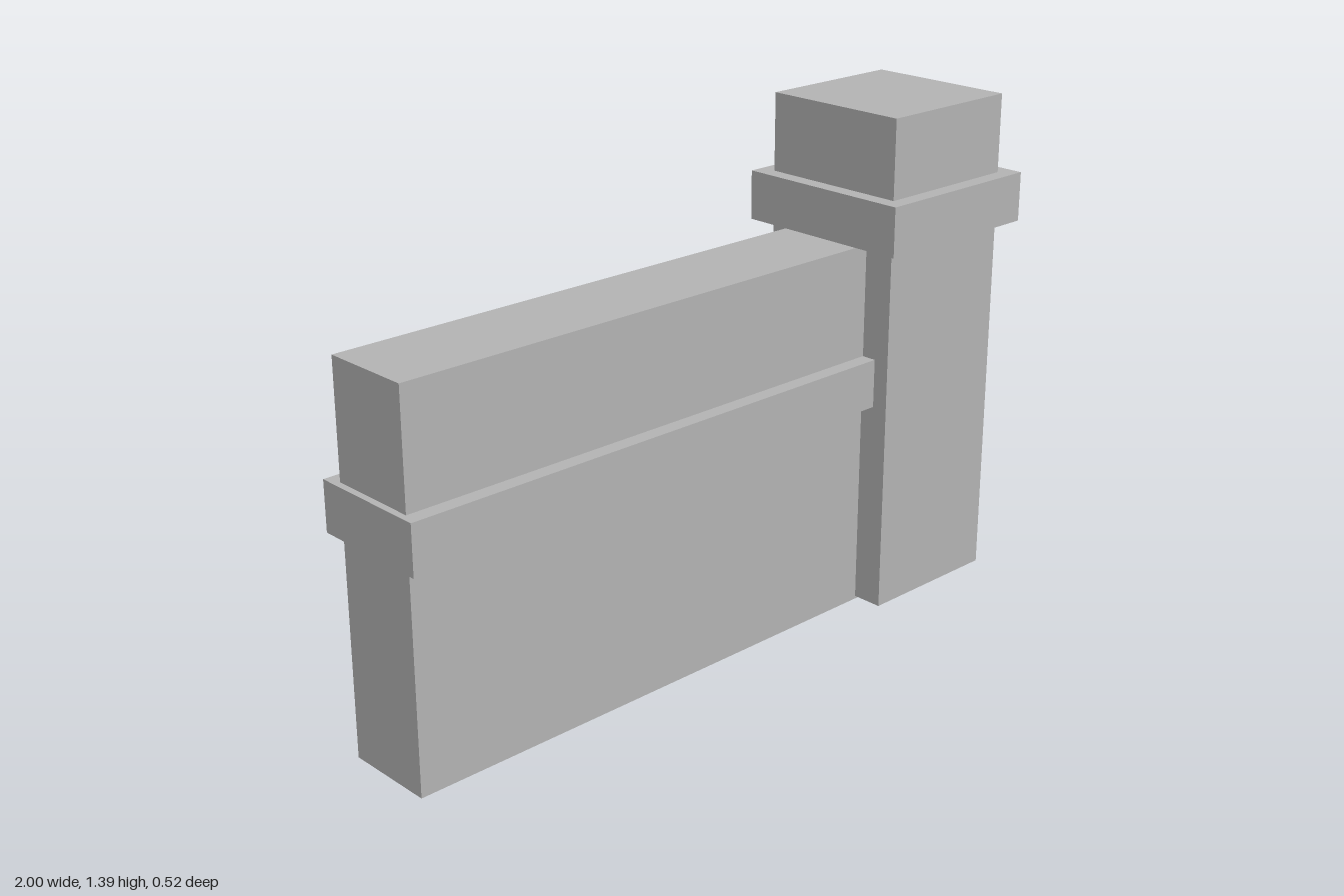
import * as THREE from 'three';

export function createModel() {
  const model = new THREE.Group();
  const stone = new THREE.MeshStandardMaterial({ color: 0xb2b2b2 });
  stone.name = 'grey stone';

  // Box spanning x0..x1 and y0..y1, centred on z = 0
  function block(name, x0, x1, y0, y1, depth) {
    const mesh = new THREE.Mesh(new THREE.BoxGeometry(x1 - x0, y1 - y0, depth), stone);
    mesh.position.set((x0 + x1) / 2, (y0 + y1) / 2, 0);
    mesh.name = name;
    model.add(mesh);
  }

  // Wall and its raised band run on into the pillar
  block('wall', -0.982, 0.737, 0, 1.036, 0.254);
  block('wallBand', -1, 0.75, 0.59, 0.725, 0.338);

  // End pillar with a projecting collar
  block('pillar', 0.525, 0.953, 0.008, 1.388, 0.428);
  block('pillarCollar', 0.482, 0.998, 1.036, 1.172, 0.516);

  return model;
}
